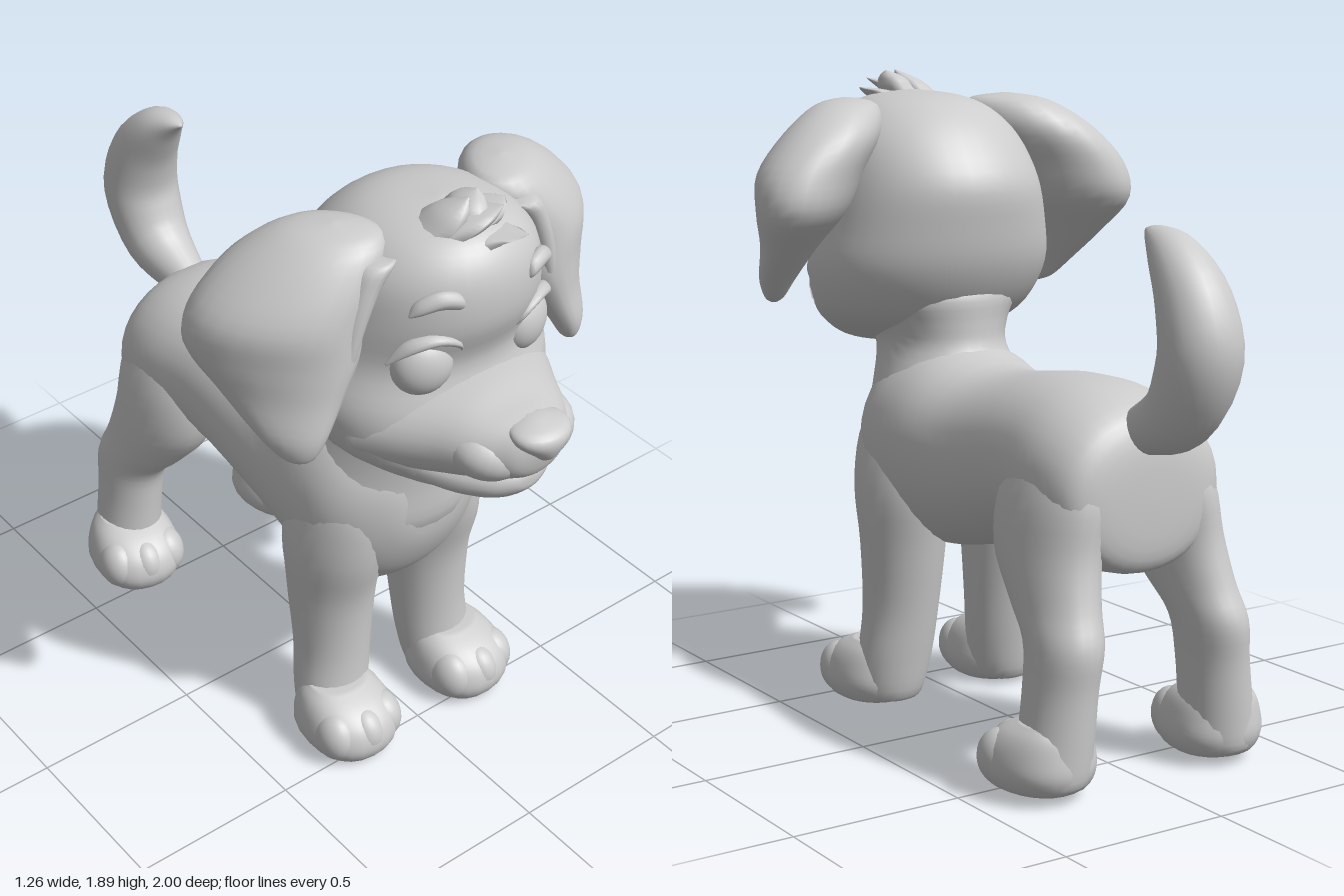
import * as THREE from 'three';

const coat = new THREE.MeshStandardMaterial({ color: 0xcccccc });
coat.name = 'plainGrey';

const RAD = Math.PI / 180;

// Smooth closed skin through rings [x, y, z, radiusU, radiusV, tilt, yaw].
// tilt 0 is a level ring, tilt 90 an upright one; yaw turns it about y.
function loft(name, rows, { side = 1, segs = 24, steps = 4, square = 1 } = {}) {
  const full = rows.map(([x, y, z, u, v, t = 0, w = 0]) => [x * side, y, z, u, v, t, w * side]);
  const rings = [];
  for (let i = 0; i < full.length - 1; i++) {
    const [a, b, c, d] = [i - 1, i, i + 1, i + 2]
      .map(k => full[Math.min(Math.max(k, 0), full.length - 1)]);
    for (let s = 0; s < steps; s++) {
      const f = s / steps;
      rings.push(b.map((q, k) => 0.5 * (2 * q + (c[k] - a[k]) * f
        + (2 * a[k] - 5 * q + 4 * c[k] - d[k]) * f * f
        + (3 * q - a[k] - 3 * c[k] + d[k]) * f * f * f)));
    }
  }
  rings.push(full[full.length - 1]);
  const pos = [], idx = [], up = new THREE.Vector3(0, 1, 0);
  for (const [x, y, z, u, v, t, w] of rings) {
    for (let j = 0; j < segs; j++) {
      const th = j / segs * Math.PI * 2, c = Math.cos(th), s = Math.sin(th);
      const pu = Math.max(u, 0.002) * Math.sign(c) * Math.abs(c) ** square;
      const pv = Math.max(v, 0.002) * Math.sign(s) * Math.abs(s) ** square;
      const p = new THREE.Vector3(pu, pv * Math.sin(t * RAD), pv * Math.cos(t * RAD));
      p.applyAxisAngle(up, w * RAD);
      pos.push(p.x + x, p.y + y, p.z + z);
    }
  }
  const n = rings.length, first = pos.length / 3;
  pos.push(...rings[0].slice(0, 3), ...rings[n - 1].slice(0, 3));
  for (let j = 0; j < segs; j++) {
    const k = (j + 1) % segs;
    for (let i = 0; i < n - 1; i++) {
      const a = i * segs + j, b = i * segs + k;
      idx.push(a, b, b + segs, a, b + segs, a + segs);
    }
    idx.push(first, k, j, first + 1, (n - 1) * segs + j, (n - 1) * segs + k);
  }
  // Signed volume tells whether the winding faces outward
  const P = i => new THREE.Vector3().fromArray(pos, i * 3);
  let vol = 0;
  for (let i = 0; i < idx.length; i += 3) vol += P(idx[i]).dot(P(idx[i + 1]).cross(P(idx[i + 2])));
  if (vol < 0) idx.reverse();
  const g = new THREE.BufferGeometry();
  g.setAttribute('position', new THREE.Float32BufferAttribute(pos, 3));
  g.setIndex(idx);
  g.computeVertexNormals();
  return part(name, g);
}

function part(name, geometry) {
  const m = new THREE.Mesh(geometry, coat);
  m.name = name;
  return m;
}

function ball(name, [x, y, z], [rx, ry, rz], rot = [0, 0, 0]) {
  const m = part(name, new THREE.SphereGeometry(1, 24, 16).scale(rx, ry, rz));
  m.position.set(x, y, z);
  m.rotation.set(...rot);
  return m;
}

function paw(name, side, x, y, z, yaw) {
  const g = new THREE.Group();
  g.name = name;
  g.add(loft('pawPad', [
    [0, 0, 0, 0.08, 0.1], [0, 0.012, 0, 0.118, 0.138], [0, 0.06, 0, 0.142, 0.16],
    [0, 0.12, -0.005, 0.135, 0.15], [0, 0.165, -0.025, 0.115, 0.12], [0, 0.195, -0.05, 0.085, 0.075],
  ], { square: 0.88 }));
  for (const i of [-1, 0, 1])
    g.add(ball('toe', [i * 0.08, 0.085, 0.085 - Math.abs(i) * 0.025], [0.06, 0.08, 0.075]));
  g.position.set(x * side, y, z);
  g.rotation.y = yaw * side;
  return g;
}

export function createModel() {
  const dog = new THREE.Group();
  dog.name = 'puppy';

  // Torso and neck
  dog.add(loft('body', [
    [0, 0.78, -0.70, 0.03, 0.03, 90], [0, 0.785, -0.69, 0.18, 0.16, 90], [0, 0.805, -0.64, 0.26, 0.225, 90],
    [0, 0.83, -0.5, 0.285, 0.25, 90], [0, 0.845, -0.3, 0.265, 0.24, 90], [0, 0.79, 0, 0.262, 0.26, 90],
    [0, 0.795, 0.2, 0.285, 0.305, 90], [0, 0.79, 0.35, 0.28, 0.3, 90], [0, 0.81, 0.46, 0.225, 0.235, 90],
    [0, 0.86, 0.535, 0.13, 0.14, 90], [0, 0.87, 0.555, 0.02, 0.02, 90],
  ], { segs: 32, square: 0.96 }));
  dog.add(loft('neck', [
    [0, 0.68, 0.33, 0.18, 0.14], [0, 0.8, 0.32, 0.268, 0.235], [0, 0.95, 0.31, 0.228, 0.258],
    [0, 1.08, 0.36, 0.187, 0.22], [0, 1.16, 0.39, 0.21, 0.235], [0, 1.25, 0.41, 0.26, 0.25],
    [0, 1.33, 0.42, 0.2, 0.2],
  ], { segs: 32 }));

  // Head
  dog.add(loft('head', [
    [0, 1.07, 0.64, 0.05, 0.08], [0, 1.08, 0.62, 0.15, 0.16], [0, 1.13, 0.53, 0.26, 0.235],
    [0, 1.2, 0.475, 0.335, 0.28], [0, 1.32, 0.435, 0.37, 0.312], [0, 1.45, 0.405, 0.345, 0.312],
    [0, 1.58, 0.423, 0.318, 0.337], [0, 1.7, 0.46, 0.28, 0.3], [0, 1.78, 0.485, 0.21, 0.235],
    [0, 1.82, 0.5, 0.12, 0.15], [0, 1.835, 0.51, 0.01, 0.01],
  ], { segs: 36, square: 0.96 }));
  dog.add(loft('muzzle', [
    [0, 1.25, 0.56, 0.34, 0.15, 90], [0, 1.258, 0.66, 0.285, 0.155, 90], [0, 1.268, 0.76, 0.222, 0.14, 90],
    [0, 1.275, 0.84, 0.178, 0.115, 90], [0, 1.28, 0.9, 0.13, 0.098, 90], [0, 1.29, 0.94, 0.085, 0.075, 90],
    [0, 1.3, 0.96, 0.01, 0.01, 90],
  ], { segs: 32 }));
  dog.add(loft('lowerJaw', [
    [0, 1.16, 0.52, 0.25, 0.08, 90], [0, 1.15, 0.66, 0.215, 0.08, 90], [0, 1.15, 0.78, 0.165, 0.077, 90],
    [0, 1.155, 0.86, 0.11, 0.06, 90], [0, 1.16, 0.9, 0.05, 0.03, 90], [0, 1.16, 0.908, 0.01, 0.01, 90],
  ]));
  dog.add(loft('nose', [
    [0, 1.265, 0.945, 0.015, 0.02], [0, 1.285, 0.945, 0.035, 0.04], [0, 1.33, 0.935, 0.085, 0.065],
    [0, 1.36, 0.92, 0.08, 0.065], [0, 1.378, 0.905, 0.02, 0.02],
  ]));

  // Swept hair on the crown
  const tufts = [[0.0, 1.82, 0.6, 0.035, 1.89, 0.61], [0.04, 1.8, 0.6, 0.12, 1.84, 0.62],
    [-0.03, 1.81, 0.62, 0.06, 1.865, 0.68], [-0.07, 1.8, 0.58, -0.01, 1.89, 0.63], [0.02, 1.78, 0.66, 0.09, 1.8, 0.745]];
  for (const [x, y, z, tx, ty, tz] of tufts)
    dog.add(loft('hairTuft', [
      [x - 0.05, y - 0.04, z - 0.05, 0.05, 0.08], [x, y + 0.01, z, 0.05, 0.075],
      [(x + tx) / 2, (y + ty) / 2 + 0.012, (z + tz) / 2, 0.036, 0.052], [tx, ty, tz, 0.003, 0.003],
    ], { segs: 10 }));

  for (const side of [1, -1]) {
    const tag = side > 0 ? 'left' : 'right';

    // Face details
    dog.add(ball(tag + 'Jowl', [side * 0.08, 1.26, 0.82], [0.115, 0.082, 0.108], [0, side * 0.4, side * 0.25]));
    dog.add(ball(tag + 'Eye', [side * 0.172, 1.47, 0.66], [0.085, 0.088, 0.06], [0, side * 0.35, 0]));
    dog.add(loft(tag + 'UpperEyelid', [
      [0.085, 1.49, 0.7, 0.004, 0.004], [0.105, 1.54, 0.718, 0.022, 0.014], [0.17, 1.57, 0.71, 0.024, 0.016],
      [0.235, 1.55, 0.675, 0.022, 0.016], [0.275, 1.5, 0.64, 0.004, 0.004],
    ].map(([x, y, z, u, v]) => [x, y, z, u, v, 90, 90]), { side, segs: 12 }));
    dog.add(loft(tag + 'Eyebrow', [
      [0.105, 1.665, 0.735, 0.004, 0.004], [0.12, 1.68, 0.732, 0.022, 0.024],
      [0.17, 1.69, 0.715, 0.025, 0.024], [0.215, 1.67, 0.69, 0.02, 0.018], [0.235, 1.65, 0.68, 0.003, 0.003],
    ].map(([x, y, z, u, v]) => [x, y, z, u, v, 90, 90]), { side, segs: 12 }));

    // Drooping ear, thick where it folds away from the head
    dog.add(loft(tag + 'Ear', [
      [0.28, 1.822, 0.43, 0.01, 0.01, 0, 50], [0.285, 1.8, 0.425, 0.13, 0.09, 0, 50],
      [0.345, 1.72, 0.4, 0.2, 0.14, 0, 50], [0.425, 1.61, 0.39, 0.228, 0.15, 0, 50],
      [0.452, 1.5, 0.395, 0.232, 0.128, 0, 52], [0.465, 1.4, 0.445, 0.172, 0.085, 0, 54],
      [0.475, 1.3, 0.505, 0.1, 0.055, 0, 54], [0.475, 1.24, 0.53, 0.05, 0.03, 0, 54],
      [0.475, 1.222, 0.535, 0.01, 0.01, 0, 54],
    ], { side, square: 0.95 }));
    dog.add(loft(tag + 'EarFold', [
      [0.19, 1.76, 0.53, 0.02, 0.03], [0.235, 1.76, 0.545, 0.05, 0.06], [0.28, 1.7, 0.56, 0.04, 0.045],
      [0.32, 1.6, 0.565, 0.032, 0.035], [0.35, 1.48, 0.565, 0.02, 0.025], [0.38, 1.4, 0.56, 0.004, 0.004],
    ], { side, segs: 14 }));

    // Front leg
    dog.add(loft(tag + 'FrontLeg', [
      [0.13, 0.92, 0.33, 0.05, 0.08], [0.15, 0.85, 0.33, 0.11, 0.16], [0.175, 0.68, 0.31, 0.13, 0.175],
      [0.178, 0.5, 0.3, 0.125, 0.14], [0.182, 0.3, 0.31, 0.115, 0.115], [0.195, 0.15, 0.325, 0.115, 0.105],
      [0.205, 0.03, 0.345, 0.1, 0.1], [0.205, 0.01, 0.345, 0.06, 0.06],
    ], { side }));
    dog.add(paw(tag + 'FrontPaw', side, 0.215, 0, 0.42, 0.05));

    // Hind leg
    dog.add(loft(tag + 'HindLeg', [
      [0.11, 1.0, -0.5, 0.04, 0.06], [0.135, 0.94, -0.5, 0.1, 0.14], [0.175, 0.8, -0.49, 0.125, 0.2],
      [0.208, 0.65, -0.5, 0.118, 0.195], [0.23, 0.52, -0.565, 0.104, 0.16], [0.247, 0.42, -0.63, 0.097, 0.132],
      [0.26, 0.3, -0.635, 0.095, 0.117], [0.275, 0.15, -0.635, 0.102, 0.11], [0.285, 0.05, -0.635, 0.1, 0.1],
      [0.285, 0.03, -0.635, 0.06, 0.06],
    ], { side }));
    dog.add(paw(tag + 'HindPaw', side, 0.293, 0.02, -0.58, 0.2));
  }

  // Curled tail
  dog.add(loft('tail', [
    [0, 0.96, -0.58, 0.05, 0.05, 65], [0, 0.975, -0.65, 0.065, 0.07, 62], [0, 1.045, -0.8, 0.1, 0.1, 52],
    [0, 1.2, -0.883, 0.115, 0.112, 5], [0, 1.35, -0.85, 0.102, 0.1, -22], [0, 1.46, -0.765, 0.072, 0.068, -40],
    [0, 1.505, -0.69, 0.035, 0.028, -58], [0, 1.515, -0.65, 0.004, 0.004, -60],
  ]));

  return dog;
}
